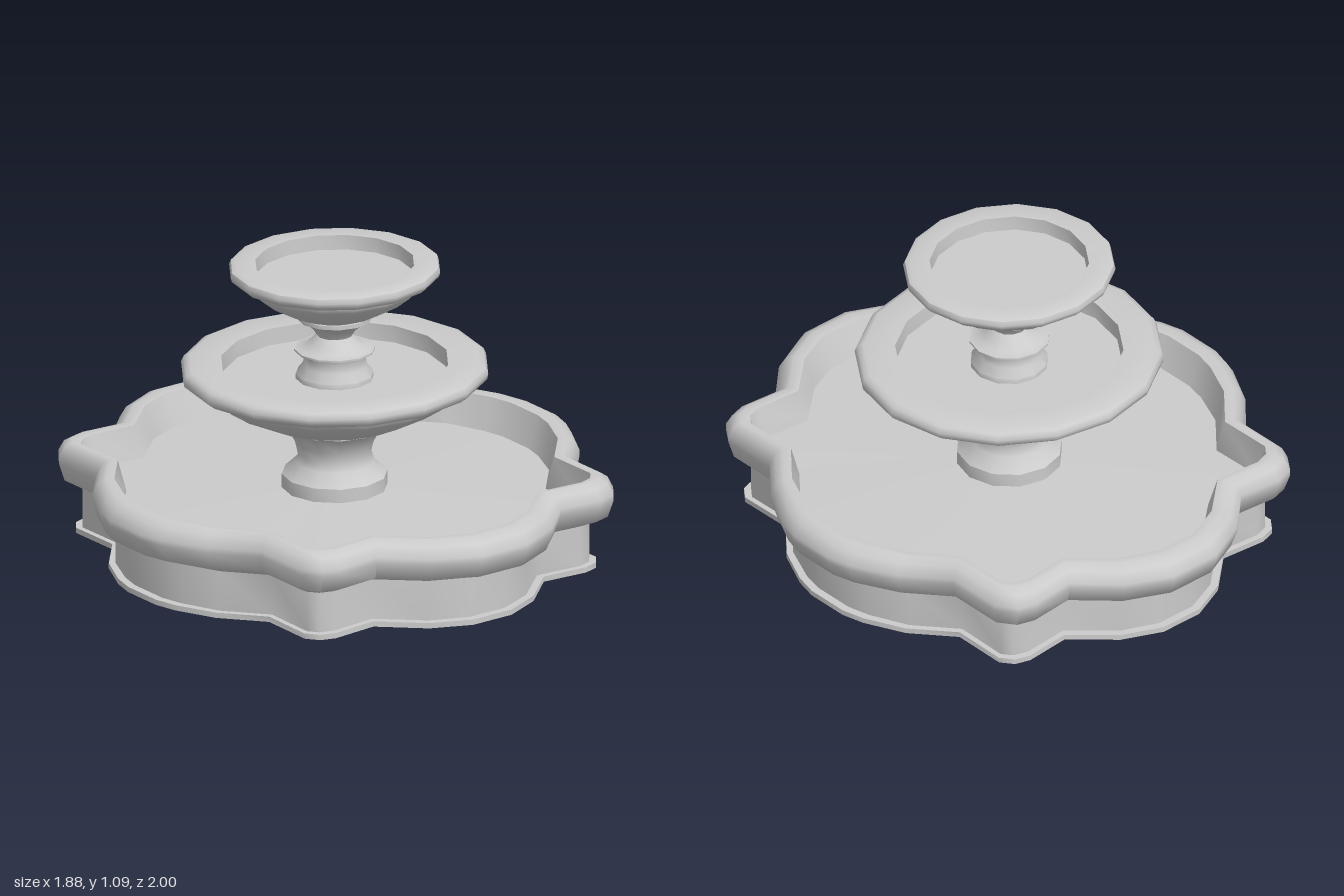
import * as THREE from 'three';
import { toCreasedNormals } from 'three/addons/utils/BufferGeometryUtils.js';

const material = new THREE.MeshStandardMaterial({ color: 0xcccccc, side: THREE.DoubleSide });

function addMesh(group, name, geometry, crease = 0.8) {
  const mesh = new THREE.Mesh(toCreasedNormals(geometry.toNonIndexed(), crease), material);
  mesh.name = name;
  group.add(mesh);
  return mesh;
}

// Turned part from [radius, height] pairs; the bowls are slightly narrower front to back
function turned(group, name, profile, sides, depth = 1) {
  const points = profile.map(([r, y]) => new THREE.Vector2(r, y));
  const geometry = new THREE.LatheGeometry(points, sides);
  geometry.deleteAttribute('uv');
  geometry.scale(1, 1, depth);
  geometry.translate(-0.006, 0, 0);
  return addMesh(group, name, geometry);
}

// Skin over a stack of closed rings of [x, y, z]
function loft(rings) {
  const n = rings[0].length;
  const index = [];
  for (let k = 0; k < rings.length - 1; k++) {
    for (let i = 0; i < n; i++) {
      const a = k * n + i, b = k * n + (i + 1) % n;
      index.push(a, b, a + n, b + n, a + n, b);
    }
  }
  const geometry = new THREE.BufferGeometry();
  geometry.setAttribute('position', new THREE.Float32BufferAttribute(rings.flat(2), 3));
  geometry.setIndex(index);
  return geometry;
}

// Full outline from one quarter, mirrored across both axes
function mirrorQuarter(quarter) {
  const back = [...quarter].reverse();
  return [
    ...quarter,
    ...back.map(([x, z]) => [x, -z]),
    ...quarter.map(([x, z]) => [-x, -z]),
    ...back.map(([x, z]) => [-x, z]),
  ];
}

// Scalloped outlines of the basin rim: widest edge and inner edge
const outer = mirrorQuarter([
  [0.1, 1], [0.27, 0.92], [0.41, 0.785], [0.58, 0.8], [0.65, 0.78],
  [0.7, 0.71], [0.7, 0.49], [0.83, 0.34], [0.915, 0.18], [0.94, 0.09],
]);
const inner = mirrorQuarter([
  [0.08, 0.9], [0.22, 0.84], [0.37, 0.705], [0.55, 0.72], [0.603, 0.703],
  [0.633, 0.665], [0.63, 0.455], [0.755, 0.31], [0.82, 0.165], [0.84, 0.08],
]);

// Ring at height y, blended from the outer (0) to the inner (1) outline
const basinRing = ([t, y]) => outer.map(([x, z], i) => [
  x + (inner[i][0] - x) * t, y, z + (inner[i][1] - z) * t,
]);

export function createModel() {
  const fountain = new THREE.Group();
  fountain.name = 'fountain';

  // Basin: foot, wall and rounded rim
  const basin = new THREE.Group();
  basin.name = 'basin';
  fountain.add(basin);
  addMesh(basin, 'basinFoot', loft([[1.05, 0], [0.75, 0], [0.75, 0.02], [1.05, 0.02]].map(basinRing)), 1);
  addMesh(basin, 'basinWall', loft([[1.05, 0.02], [1.05, 0.17]].map(basinRing)), 1.1);
  addMesh(basin, 'basinRim', loft([
    [1.05, 0.17], [0.25, 0.2], [0, 0.265], [0, 0.285], [0.25, 0.325],
    [0.6, 0.342], [1, 0.338], [1.4, 0.22],
  ].map(basinRing)), 0.95);

  // Basin floor, open in the middle under the pedestal
  const edge = basinRing([1.4, 0.22]);
  const hole = edge.map(([x, , z]) => {
    const s = 0.175 / Math.hypot(x, z);
    return [x * s, 0.24, z * s];
  });
  addMesh(basin, 'basinFloor', loft([edge, hole]));

  // Lower pedestal on a short block
  turned(fountain, 'pedestal', [
    [0.19, 0.235], [0.19, 0.29], [0.142, 0.335], [0.132, 0.365], [0.142, 0.41],
    [0.168, 0.46], [0.18, 0.47], [0.18, 0.485], [0.1, 0.485],
  ], 12);

  // Large bowl
  turned(fountain, 'lowerBowl', [
    [0, 0.475], [0.17, 0.478], [0.27, 0.504], [0.38, 0.556], [0.455, 0.605], [0.48, 0.632],
    [0.48, 0.645], [0.535, 0.648], [0.558, 0.665], [0.562, 0.685], [0.552, 0.706], [0.53, 0.715],
    [0.415, 0.712], [0.412, 0.65], [0, 0.65],
  ], 16, 0.96);

  // Upper stem with a thin ring
  turned(fountain, 'stem', [
    [0.14, 0.645], [0.14, 0.668], [0.115, 0.7], [0.11, 0.735], [0.118, 0.752], [0.145, 0.755],
    [0.145, 0.762], [0.112, 0.766], [0.085, 0.79], [0.064, 0.812], [0.08, 0.838], [0.118, 0.87],
    [0.135, 0.875], [0.135, 0.89], [0.08, 0.89],
  ], 12);

  // Small bowl
  turned(fountain, 'upperBowl', [
    [0, 0.885], [0.12, 0.887], [0.18, 0.912], [0.265, 0.96], [0.315, 1.0], [0.33, 1.02],
    [0.33, 1.03], [0.365, 1.032], [0.382, 1.047], [0.386, 1.062], [0.38, 1.078], [0.36, 1.086],
    [0.29, 1.084], [0.287, 1.03], [0, 1.03],
  ], 16, 0.96);

  return fountain;
}
